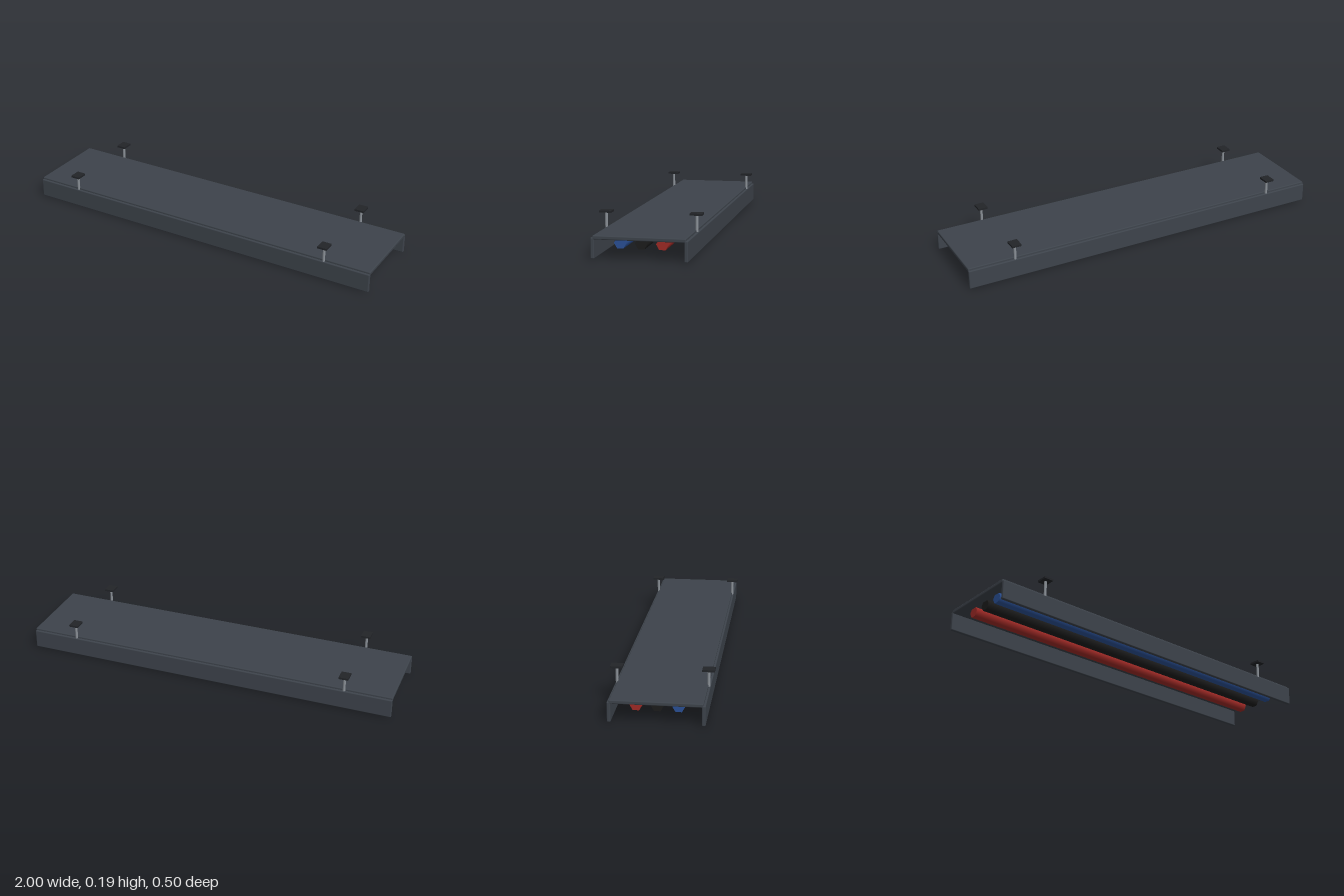
import * as THREE from 'three';
import { RoundedBoxGeometry } from 'three/addons/geometries/RoundedBoxGeometry.js';

const paint = (color) => new THREE.MeshStandardMaterial({ color });

export function createModel() {
  const tray = new THREE.Group();
  tray.name = 'cableTray';
  const steel = paint(0x3d434b);
  const rodMetal = paint(0x8c9299);
  const plateMetal = paint(0x222428);

  const add = (name, geometry, material, x, y, z) => {
    const mesh = new THREE.Mesh(geometry, material);
    mesh.name = name;
    mesh.position.set(x, y, z);
    tray.add(mesh);
    return mesh;
  };

  // Tray floor with softened edges
  add('trayPanel', new RoundedBoxGeometry(2, 0.019, 0.44, 2, 0.005), steel, 0, 0.101, 0);

  // Side walls, and a hanger with its plate near each corner
  const wall = new RoundedBoxGeometry(2, 0.1, 0.018, 2, 0.005);
  const rod = new THREE.CylinderGeometry(0.007, 0.007, 0.085, 8);
  const plate = new THREE.BoxGeometry(0.05, 0.01, 0.06);
  for (const [side, s] of [['front', 1], ['back', -1]]) {
    const z = s * 0.221;
    add(side + 'Wall', wall, steel, 0, 0.05, z);
    for (const [end, x] of [['Left', 0.75], ['Right', -0.75]]) {
      add(side + end + 'HangerRod', rod, rodMetal, x, 0.1405, z);
      add(side + end + 'HangerPlate', plate, plateMetal, x, 0.186, z);
    }
  }

  // Three hexagonal cables running under the panel
  const cable = new THREE.CylinderGeometry(0.03, 0.03, 1.9, 6).rotateZ(Math.PI / 2);
  for (const [name, color, z] of [['blueCable', 0x2a5096, 0.1], ['blackCable', 0x1c1c1c, 0], ['redCable', 0xa02a26, -0.1]]) {
    add(name, cable, paint(color), 0, 0.071, z);
  }

  return tray;
}
